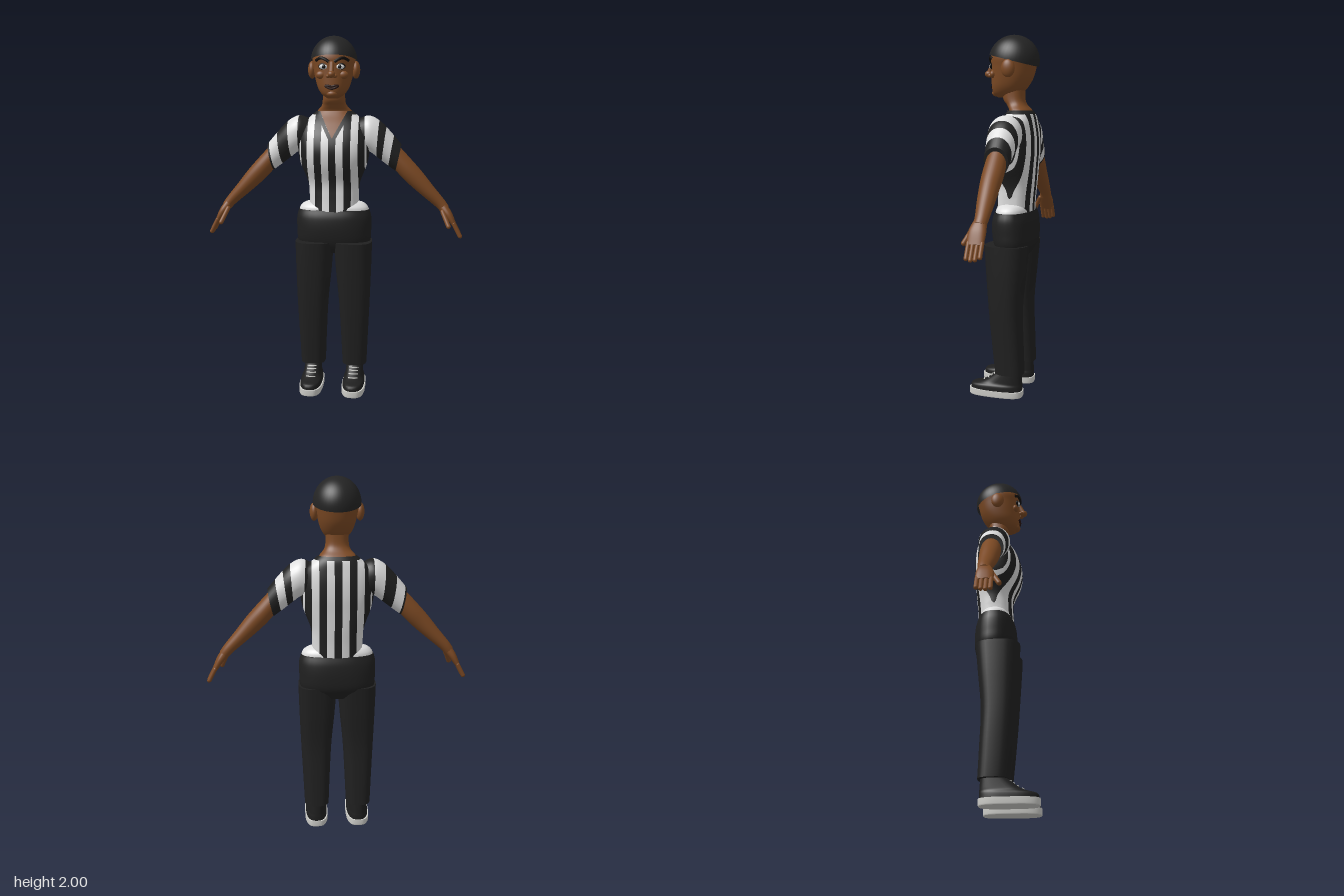
import * as THREE from 'three';
import { mergeVertices } from 'three/addons/utils/BufferGeometryUtils.js';

const V = (x, y, z) => new THREE.Vector3(x, y, z);
const RAD = Math.PI / 180;

// Smoothly subdivide a list of key rows of numbers.
function smooth(keys, k = 6) {
  const out = [];
  const n = keys.length - 1;
  for (let i = 0; i < n; i++) {
    const [a, b, c, d] = [keys[Math.max(i - 1, 0)], keys[i], keys[i + 1], keys[Math.min(i + 2, n)]];
    for (let j = 0; j < k; j++) {
      const t = j / k;
      out.push(b.map((q, m) => 0.5 * (2 * q + (c[m] - a[m]) * t + (2 * a[m] - 5 * q + 4 * c[m] - d[m]) * t * t
        + (3 * q - a[m] - 3 * c[m] + d[m]) * t * t * t)));
    }
  }
  out.push(keys[n]);
  return out;
}

// Skin superellipse rings {c, u, v}; pick(i) gives the material slot of row i.
function loft(rings, p = 2.2, n = 32, pick = () => 0) {
  const pos = [], idx = [], geo = new THREE.BufferGeometry();
  const pw = (q) => Math.sign(q) * Math.pow(Math.abs(q), 2 / p);
  const addRing = (r) => {
    for (let j = 0; j < n; j++) {
      const a = (j / n) * Math.PI * 2;
      const q = r.c.clone().addScaledVector(r.u, pw(Math.cos(a))).addScaledVector(r.v, pw(Math.sin(a)));
      pos.push(q.x, q.y, q.z);
    }
  };
  const last = rings.length - 1;
  const axis = rings[last].c.clone().sub(rings[0].c);
  const flip = axis.dot(rings[0].u.clone().cross(rings[0].v)) > 0;
  const tri = (a, b, c) => (flip ? idx.push(a, c, b) : idx.push(a, b, c));
  rings.forEach(addRing);
  for (let i = 0; i < last; i++) {
    const start = idx.length;
    for (let j = 0; j < n; j++) {
      const k = (j + 1) % n, a = i * n, b = a + n;
      tri(a + j, b + j, a + k);
      tri(a + k, b + j, b + k);
    }
    geo.addGroup(start, idx.length - start, pick(i));
  }
  const capStart = idx.length;
  for (const e of [0, last]) {
    const base = pos.length / 3;
    addRing(rings[e]);
    pos.push(...rings[e].c.toArray());
    for (let j = 0; j < n; j++) {
      const k = (j + 1) % n;
      if (e) tri(base + n, base + k, base + j);
      else tri(base + n, base + j, base + k);
    }
  }
  geo.addGroup(capStart, idx.length - capStart, pick(last - 1));
  geo.setAttribute('position', new THREE.Float32BufferAttribute(pos, 3));
  geo.setIndex(idx);
  geo.computeVertexNormals();
  return geo;
}

// Upright rows are [y, halfWidth, zFront, zBack].
const upright = (rows, x = 0) => rows.map(([y, w, f, b]) =>
  ({ c: V(x, y, (f + b) / 2), u: V(w, 0, 0), v: V(0, 0, (f - b) / 2) }));
// Limb rows are [x, y, z, tilt, halfHeight, halfDepth], s = side.
const limb = (rows, s) => rows.map(([x, y, z, t, h, d]) =>
  ({ c: V(s * x, y, z), u: V(s * Math.sin(t * RAD) * h, Math.cos(t * RAD) * h, 0), v: V(0, 0, d) }));

const faceZ = (x, [, w, f, b], p, side = 1) => (f + b) / 2
  + side * (f - b) / 2 * Math.pow(Math.max(0, 1 - Math.pow(Math.min(Math.abs(x) / w, 1), p)), 1 / p);
function frontZ(rows, x, y, p) {
  let i = 0;
  while (i < rows.length - 2 && rows[i + 1][0] < y) i++;
  const t = (y - rows[i][0]) / (rows[i + 1][0] - rows[i][0]);
  return faceZ(x, rows[i].map((q, m) => q + (rows[i + 1][m] - q) * t), p);
}

// Striped body: columns at fixed x, squeezed to the width of each row.
function stripedBody(rows, p, isBlack) {
  const pos = [], lists = [[], []], n = 84, step = 0.005;
  for (const side of [1, -1]) {
    const base = pos.length / 3;
    rows.forEach((r, i) => {
      for (let j = 0; j <= n; j++) {
        const x = THREE.MathUtils.clamp((j - n / 2) * step, -r[1], r[1]);
        pos.push(x, r[0], faceZ(x, r, p, side));
        if (i === rows.length - 1 || j === n) continue;
        const a = base + i * (n + 1) + j, b = a + 1, c = a + n + 1, d = c + 1;
        const list = lists[isBlack(Math.abs((j + 0.5 - n / 2) * step), r[0]) ? 0 : 1];
        list.push(...(side > 0 ? [a, b, c, b, d, c] : [a, c, b, b, c, d]));
      }
    });
  }
  const geo = new THREE.BufferGeometry();
  geo.setAttribute('position', new THREE.Float32BufferAttribute(pos, 3));
  geo.setIndex([...lists[0], ...lists[1]]);
  geo.addGroup(0, lists[0].length, 0);
  geo.addGroup(lists[0].length, lists[1].length, 1);
  const merged = mergeVertices(geo);
  merged.computeVertexNormals();
  return merged;
}

// Thin plate lying on the front of an upright body.
function plate(rows, p, y0, y1, xa, xb, off) {
  const geo = new THREE.PlaneGeometry(1, 1, 10, 16), q = geo.attributes.position;
  for (let i = 0; i < q.count; i++) {
    const y = y0 + (q.getY(i) + 0.5) * (y1 - y0);
    const x = xa(y) + (q.getX(i) + 0.5) * (xb(y) - xa(y));
    q.setXYZ(i, x, y, frontZ(rows, x, y, p) + off);
  }
  geo.computeVertexNormals();
  return geo;
}

export function createModel() {
  const group = new THREE.Group();
  const mat = (name, color) => Object.assign(new THREE.MeshStandardMaterial({ color }), { name });
  const skin = mat('skin', 0x7d4a24), black = mat('blackCloth', 0x202020), white = mat('whiteCloth', 0xdedede);
  const capMat = mat('capCloth', 0x242424), shoeMat = mat('shoe', 0x1e1e1e), sole = mat('soleAndLaces', 0xcfcfcb);
  const eyeWhite = mat('eyeWhite', 0xd8d8d8), dark = mat('browAndPupil', 0x120e0c), lip = mat('lips', 0x2a1510);
  capMat.side = THREE.DoubleSide;
  const add = (name, geo, m) => {
    const mesh = new THREE.Mesh(geo, m);
    mesh.name = name;
    group.add(mesh);
    return mesh;
  };
  const ball = (name, m, c, r) => add(name, new THREE.SphereGeometry(1, 24, 16).scale(...r).translate(...c), m);
  const rod = (name, m, a, b, r) => {
    const d = b.clone().sub(a);
    const mesh = add(name, new THREE.CapsuleGeometry(r, d.length(), 6, 12), m);
    mesh.position.copy(a).add(b).multiplyScalar(0.5);
    mesh.quaternion.setFromUnitVectors(V(0, 1, 0), d.normalize());
  };
  const tube = (name, m, pts, r) => add(name, new THREE.TubeGeometry(new THREE.CatmullRomCurve3(pts), 16, r, 8), m);

  // Shirt
  const P = 2.4;
  const torso = smooth([[1.04, 0.14, 0.048, -0.152], [1.12, 0.14, 0.042, -0.157], [1.2, 0.147, 0.045, -0.165],
    [1.3, 0.185, 0.085, -0.172], [1.38, 0.2, 0.096, -0.178], [1.46, 0.2, 0.075, -0.175],
    [1.525, 0.18, 0.035, -0.165], [1.57, 0.13, -0.002, -0.155], [1.595, 0.1, -0.02, -0.14]]);
  add('shirt', stripedBody(torso, P, (x, y) => y > 1.574 || x < 0.02 || (x > 0.06 && x < 0.1)
    || (x > 0.14 && x < 0.175) || x > 0.185), [black, white]);
  add('shirtHem', loft(upright(smooth([[1.035, 0.2, 0.042, -0.146], [1.06, 0.192, 0.038, -0.143],
    [1.08, 0.17, 0.02, -0.13], [1.09, 0.14, 0, -0.11]])), P), white);
  const inner = (y) => Math.max(0, (y - 1.45) / 0.145 * 0.076);
  const outer = (y) => (y - 1.41) / 0.185 * 0.1;
  add('neckOpening', plate(torso, P, 1.45, 1.595, (y) => -inner(y), inner, 0.005), skin);
  add('collarRight', plate(torso, P, 1.41, 1.595, (y) => -outer(y), (y) => -inner(y), 0.007), black);
  add('collarLeft', plate(torso, P, 1.41, 1.595, inner, outer, 0.007), black);

  // Trousers
  add('pelvis', loft(upright(smooth([[0.8, 0.16, 0.02, -0.13], [0.86, 0.205, 0.05, -0.165], [0.93, 0.212, 0.062, -0.172],
    [1.0, 0.212, 0.06, -0.166], [1.045, 0.2, 0.046, -0.152]])), P), black);
  const legKeys = [[0.135, 0.07, 0.025, -0.135, 0.121], [0.3, 0.077, 0.042, -0.128, 0.121], [0.5, 0.087, 0.06, -0.122, 0.12],
    [0.7, 0.1, 0.075, -0.14, 0.114], [0.865, 0.108, 0.086, -0.156, 0.11]];

  // Head
  const H = 2.2;
  add('neck', loft(upright(smooth([[1.57, 0.105, -0.012, -0.145], [1.595, 0.096, -0.022, -0.137], [1.625, 0.07, -0.005, -0.112],
    [1.66, 0.062, 0.018, -0.1], [1.73, 0.062, 0.02, -0.1]])), P), skin);
  const head = smooth([[1.665, 0.03, 0.05, -0.04], [1.685, 0.06, 0.075, -0.08], [1.72, 0.084, 0.083, -0.115],
    [1.77, 0.1, 0.084, -0.145], [1.83, 0.112, 0.084, -0.162], [1.88, 0.118, 0.086, -0.17],
    [1.93, 0.1, 0.068, -0.15], [1.97, 0.06, 0.025, -0.11]]);
  add('head', loft(upright(head), H, 40), skin);
  const cap = new THREE.SphereGeometry(1, 40, 20, 0, Math.PI * 2, 0, Math.PI / 2);
  add('cap', cap.rotateX(-0.25).scale(0.128, 0.138, 0.14).translate(0, 1.862, -0.04), capMat);
  rod('noseBridge', skin, V(0, 1.85, 0.08), V(0, 1.8, 0.104), 0.014);
  ball('noseTip', skin, [0, 1.793, 0.106], [0.021, 0.019, 0.023]);
  const onFace = (x, y, off = 0.002) => V(x, y, frontZ(head, x, y, H) + off);
  tube('upperLip', lip, [[-0.038, 1.732], [-0.018, 1.733], [0, 1.729], [0.018, 1.733], [0.038, 1.732]].map((q) => onFace(...q)), 0.006);
  tube('lowerLip', lip, [[-0.034, 1.729], [0, 1.717], [0.034, 1.729]].map((q) => onFace(...q)), 0.006);
  ball('chin', skin, [0, 1.69, 0.06], [0.032, 0.02, 0.026]);

  for (const s of [1, -1]) {
    const side = s > 0 ? 'left' : 'right';
    // Face details
    ball(side + 'Ear', skin, [s * 0.121, 1.818, -0.042], [0.023, 0.048, 0.038]);
    ball(side + 'Nostril', skin, [s * 0.018, 1.784, 0.092], [0.013, 0.011, 0.015]);
    ball(side + 'Cheek', skin, [s * 0.06, 1.79, 0.06], [0.028, 0.022, 0.018]);
    const e = onFace(s * 0.045, 1.833);
    ball(side + 'EyeRim', dark, [e.x, e.y + 0.002, e.z - 0.006], [0.028, 0.018, 0.012]);
    ball(side + 'Eye', eyeWhite, [e.x, e.y, e.z - 0.002], [0.024, 0.014, 0.011]);
    ball(side + 'Pupil', dark, [e.x - s * 0.002, e.y, e.z + 0.006], [0.01, 0.011, 0.005]);
    tube(side + 'Brow', dark, [[0.014, 1.858], [0.035, 1.871], [0.06, 1.879], [0.088, 1.866]]
      .map(([x, y]) => onFace(s * x, y, 0.003)), 0.008);

    // Sleeve with stripes across the arm
    const sleeve = smooth([[0.12, 1.46, -0.055, -10, 0.07, 0.06], [0.16, 1.465, -0.055, -5, 0.094, 0.08],
      [0.2, 1.47, -0.052, 0, 0.1, 0.09], [0.25, 1.44, -0.052, 5, 0.1, 0.085],
      [0.3, 1.395, -0.053, 9, 0.09, 0.075], [0.36, 1.338, -0.055, 12, 0.076, 0.066]], 10);
    const bands = s > 0 ? [0.175, 0.24, 0.275, 0.318] : [0.195, 0.25, 0.305, 0.35];
    add(side + 'Sleeve', loft(limb(sleeve, s), 2.1, 32, (i) => bands.filter((b) => sleeve[i][0] >= b).length % 2), [black, white]);

    // Arm and hand
    add(side + 'Arm', loft(limb(smooth([[0.32, 1.375, -0.055, 45, 0.05, 0.052], [0.4, 1.285, -0.055, 45, 0.053, 0.056],
      [0.46, 1.222, -0.055, 45, 0.05, 0.052], [0.53, 1.15, -0.058, 45, 0.04, 0.045],
      [0.595, 1.085, -0.062, 47, 0.031, 0.036], [0.622, 1.052, -0.06, 50, 0.028, 0.034]]), s), 2), skin);
    add(side + 'Palm', loft(limb(smooth([[0.605, 1.075, -0.06, 55, 0.024, 0.03], [0.642, 1.025, -0.055, 60, 0.022, 0.045],
      [0.677, 0.965, -0.055, 62, 0.013, 0.043]]), s), 2.4), skin);
    [0.93, 1, 0.96, 0.82].forEach((len, i) => {
      const z = -0.021 - i * 0.023;
      rod(side + 'Finger' + (i + 1), skin, V(s * 0.672, 0.975, z), V(s * (0.672 + 0.04 * len), 0.975 - 0.076 * len, z), 0.0115);
    });
    rod(side + 'Thumb', skin, V(s * 0.61, 1.04, -0.025), V(s * 0.643, 0.965, 0.015), 0.013);

    // Leg
    add(side + 'Leg', loft(smooth(legKeys).map((r) => upright([r], s * r[4])[0]), 2.8), black);

    // Shoe
    const x = s * 0.122;
    add(side + 'Sole', loft(upright([[0, 0.064, 0.178, -0.128], [0.006, 0.067, 0.181, -0.131], [0.036, 0.067, 0.181, -0.131]], x), 3), sole);
    add(side + 'Shoe', loft(upright(smooth([[0.034, 0.062, 0.174, -0.126], [0.06, 0.06, 0.168, -0.126], [0.074, 0.053, 0.12, -0.125],
      [0.09, 0.05, 0.08, -0.124], [0.14, 0.045, 0.015, -0.12]], 4), x), 2.6), shoeMat);
    [0.084, 0.098, 0.112, 0.124].forEach((y, i) => {
      const z = [0.096, 0.07, 0.05, 0.034][i];
      tube(side + 'Lace' + (i + 1), sole, [V(x - 0.026, y, z - 0.008), V(x, y + 0.002, z + 0.001), V(x + 0.026, y, z - 0.008)], 0.0035);
    });
  }
  return group;
}
